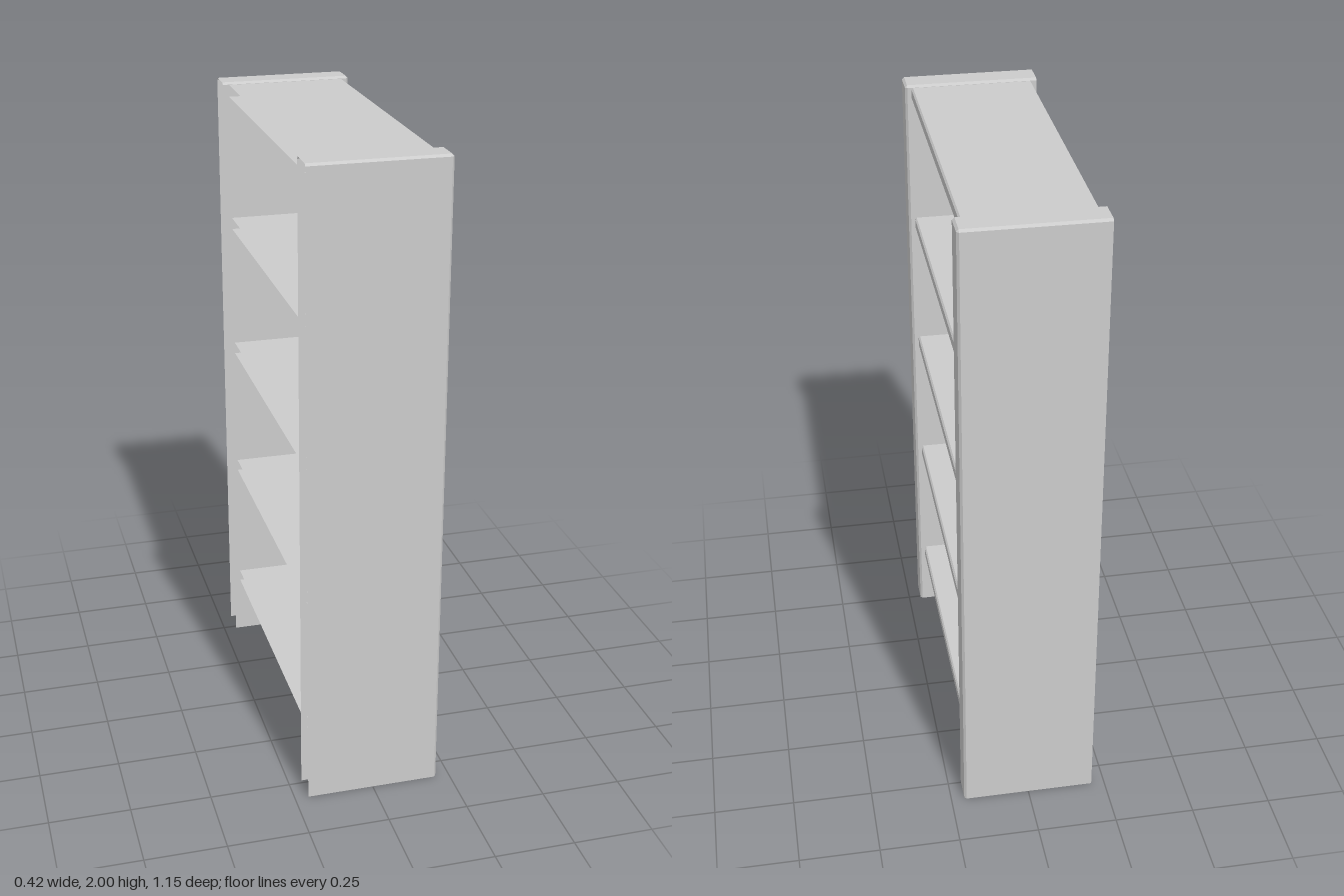
import * as THREE from 'three';

const material = new THREE.MeshStandardMaterial({ color: 0xcccccc, side: THREE.DoubleSide, flatShading: true });

// Open-backed skin through equal-length rings of points, optionally closed over the last ring
function skin(name, rings, capped) {
  const pos = [];
  const tri = (...points) => points.forEach((p) => pos.push(...p));
  for (let r = 0; r < rings.length - 1; r++) {
    const a = rings[r], b = rings[r + 1];
    for (let i = 0; i < a.length - 1; i++) {
      tri(a[i], b[i], b[i + 1]);
      tri(a[i], b[i + 1], a[i + 1]);
    }
  }
  if (capped) {
    const t = rings[rings.length - 1];
    tri(t[0], t[5], t[4]);
    tri(t[0], t[4], t[1]);
  }
  const geometry = new THREE.BufferGeometry();
  geometry.setAttribute('position', new THREE.Float32BufferAttribute(pos, 3));
  geometry.computeVertexNormals();
  const mesh = new THREE.Mesh(geometry, material);
  mesh.name = name;
  return mesh;
}

// U-shaped outline, open at -x, with chamfered corners at +x
const outline = (x, h, b) => [[-x, -h], [x - b, -h], [x, -h + b], [x, h - b], [x - b, h], [-x, h]];

export function createModel() {
  const group = new THREE.Group();
  const height = 2;

  // Side panels: open at the back and bottom, chamfered at the front and top
  const px = 0.208, pz = 0.044, pb = 0.007;
  const ring = (y) => outline(px, pz, pb).map(([x, z]) => [x, y, z]);
  const topRing = ring(height).map(([x, y, z]) => [
    Math.min(x, px - pb), y, THREE.MathUtils.clamp(z, pb - pz, pz - pb),
  ]);
  for (const [name, side] of [['frontPanel', 1], ['rearPanel', -1]]) {
    const panel = skin(name, [ring(0), ring(height - pb), topRing], true);
    panel.position.z = side * 0.532;
    group.add(panel);
  }

  // Shelves: open at the back, their ends running into the side panels
  const shelfEnd = 0.55, sx = 0.188, sh = 0.019, sb = 0.005;
  const section = (z) => outline(sx, sh, sb).map(([x, y]) => [x, -y, z]);
  for (let i = 0; i < 5; i++) {
    const shelf = skin('shelf' + (i + 1), [section(-shelfEnd), section(shelfEnd)], false);
    shelf.position.y = 0.216 + i * 0.4393;
    group.add(shelf);
  }
  return group;
}
